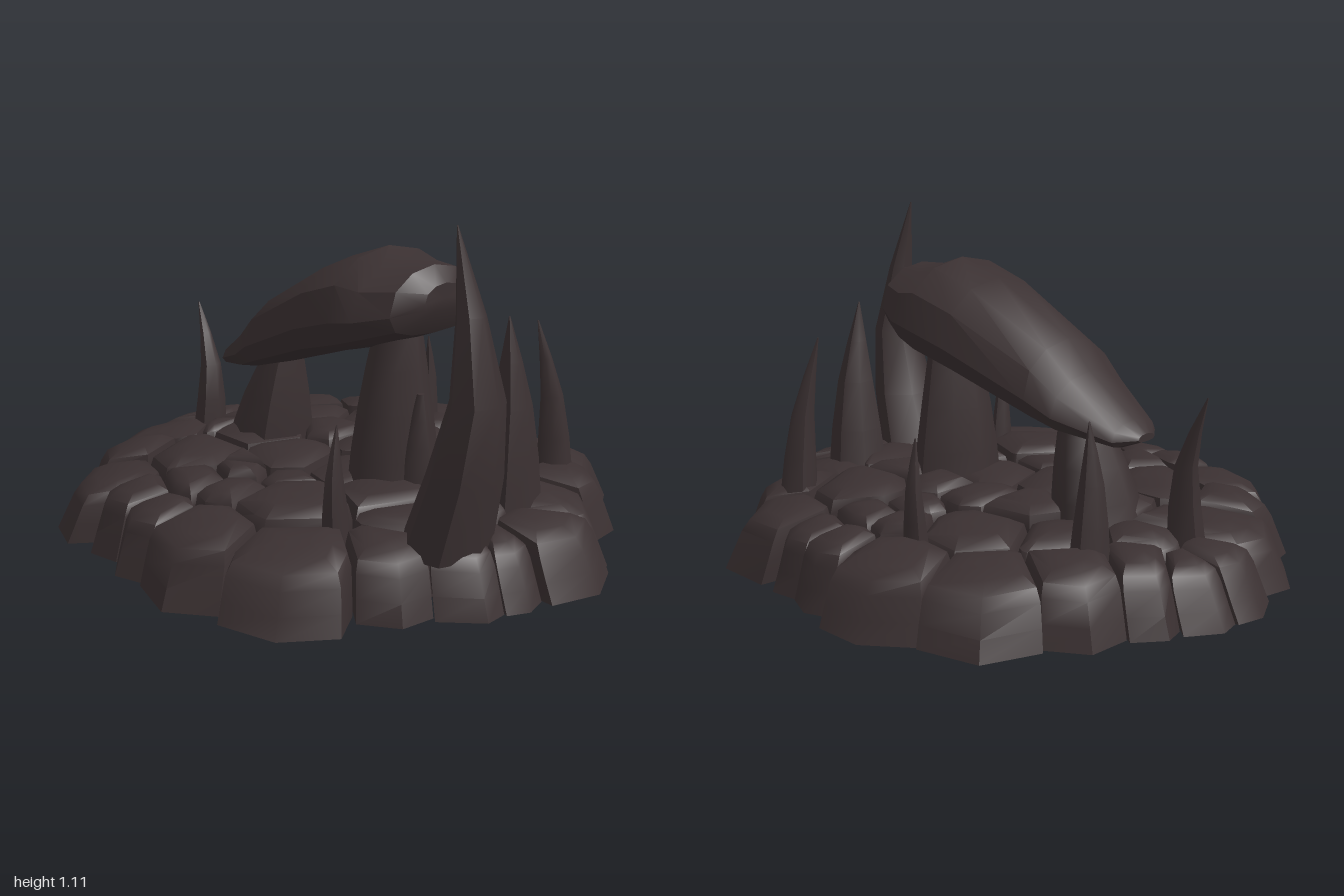
import * as THREE from 'three';
import { toCreasedNormals } from 'three/addons/utils/BufferGeometryUtils.js';

// seeded random numbers in 0..1
let seed = 7;
const rnd = () => (seed = (seed * 16807) % 2147483647) / 2147483647;

// skin a stack of equal-length rings of [x, y, z] points and close both ends
function loft(rings, crease) {
  const n = rings[0].length, pos = rings.flat(2), idx = [];
  for (let k = 0; k < rings.length - 1; k++) {
    for (let i = 0; i < n; i++) {
      const a = k * n + i, b = k * n + (i + 1) % n;
      idx.push(a, a + n, b, b, a + n, b + n);
    }
  }
  [0, rings.length - 1].forEach((k, end) => {
    const c = [0, 1, 2].map(j => rings[k].reduce((s, p) => s + p[j], 0) / n);
    const ci = pos.length / 3;
    pos.push(...c);
    for (let i = 0; i < n; i++) {
      const a = k * n + i, b = k * n + (i + 1) % n;
      if (end) idx.push(a, ci, b); else idx.push(b, ci, a);
    }
  });
  const g = new THREE.BufferGeometry();
  g.setAttribute('position', new THREE.Float32BufferAttribute(pos, 3));
  g.setIndex(idx);
  return toCreasedNormals(g, crease);
}

// cut a polygon in the ground plane, keeping the points with p . n <= d
function clip(poly, nx, nz, d) {
  const out = [];
  poly.forEach((p, i) => {
    const q = poly[(i + 1) % poly.length];
    const a = p[0] * nx + p[1] * nz - d, b = q[0] * nx + q[1] * nz - d;
    if (a <= 0) out.push(p);
    if (a * b < 0) {
      const t = a / (a - b);
      out.push([p[0] + (q[0] - p[0]) * t, p[1] + (q[1] - p[1]) * t]);
    }
  });
  return out;
}

// stone centres and sizes: x, z, radius
const rim = [
  [-.21, -.73, .19], [.02, -.745, .13], [.19, -.715, .13], [.41, -.68, .17], [.59, -.47, .17],
  [.70, -.25, .20], [.83, -.11, .17], [.82, .10, .12], [.77, .22, .14], [.63, .38, .16],
  [.47, .62, .20], [.18, .73, .18], [-.07, .74, .13], [-.24, .70, .14], [-.45, .65, .18],
  [-.63, .45, .17], [-.76, .23, .19], [-.87, .03, .13], [-.86, -.12, .12], [-.75, -.24, .15],
  [-.64, -.41, .18], [-.49, -.62, .19]];
const paving = [
  [-.25, -.41, .19], [-.47, -.28, .17], [-.05, -.53, .12], [.11, -.53, .12], [.06, -.39, .11],
  [.34, -.38, .19], [-.65, -.08, .14], [-.60, .06, .12], [-.38, .35, .19], [-.15, .51, .13],
  [.02, .48, .13], [-.10, .37, .11], [.24, .42, .19], [.55, .20, .18], [.57, -.06, .18]];
// two staggered rows beneath the capstone
for (let i = 0; i < 4; i++) {
  paving.push([-.38 + i * .25, .05 + (i % 2) * .08, .18], [-.22 + i * .19, -.16, .15]);
}
paving.push([-.16, .27, .12], [.06, .28, .12]);

function stoneGeometry(stone, stones) {
  const [x, z, r] = stone, sides = 6, out = Math.atan2(z, x);
  let poly = [];
  for (let i = 0; i < sides; i++) {
    const a = out + (i + (i ? (rnd() - .5) * .4 : 0)) / sides * Math.PI * 2;
    const reach = i ? r * 1.13 : r;
    poly.push([x + reach * Math.cos(a), z + reach * Math.sin(a)]);
  }
  // neighbours share straight joints
  for (const other of stones) {
    const dx = other[0] - x, dz = other[1] - z, d = Math.hypot(dx, dz);
    if (other === stone || d > (r + other[2]) * 1.13) continue;
    const nx = dx / d, nz = dz / d;
    poly = clip(poly, nx, nz, x * nx + z * nz + (d * d + r * r - other[2] ** 2) / (2 * d) - .0015);
  }
  const cx = poly.reduce((s, p) => s + p[0], 0) / poly.length;
  const cz = poly.reduce((s, p) => s + p[1], 0) / poly.length;
  const h = .23 + rnd() * .025;
  const layers = [[.94, 0], [1, .35], [.99, .7], [.92, .88], [.65, .97], [.3, 1]];
  return loft(layers.map(([s, v]) => poly.map(([px, pz]) => {
    // the outer rim leans inwards and drops away
    const full = Math.hypot(px, pz), lean = Math.max(0, full - .6) * .22 * v;
    const k = 1 - lean / full, foot = full > .75 && v === 0 ? 1 / .94 : 1;
    const qx = (cx + (px - cx) * s * foot) * k, qz = (cz + (pz - cz) * s * foot) * k;
    const drop = THREE.MathUtils.clamp((Math.hypot(qx, qz) - .55) / .4, 0, 1);
    return [qx, h * v * (1 - .3 * drop), qz];
  })), .8);
}

// upright rock tapering from r0 to r1 along a curve through three points
function rockGeometry(points, r0, r1, sides = 7) {
  const curve = new THREE.CatmullRomCurve3(points.map(p => new THREE.Vector3(...p)));
  const wobble = Array.from({ length: sides }, () => .92 + rnd() * .16);
  return loft([0, .25, .5, .75, 1].map(t => {
    const c = curve.getPoint(t), r = THREE.MathUtils.lerp(r0, r1, t ** 1.25);
    return wobble.map((w, i) => {
      const a = i / sides * Math.PI * 2;
      return [c.x + Math.cos(a) * r * w, c.y, c.z + Math.sin(a) * r * w * 1.12];
    });
  }), .9);
}

// spikes: foot x, z; middle x, y, z; tip x, y, z; foot radius
const spikes = [
  [.69, .21, .80, .62, .21, .72, 1.11, .225, .135],
  [.615, -.15, .625, .5, -.145, .615, .785, -.13, .1],
  [.52, -.5, .52, .45, -.47, .495, .71, -.415, .06],
  [-.6, -.29, -.595, .4, -.28, -.59, .59, -.29, .06],
  [.43, .41, .43, .35, .42, .43, .51, .41, .045],
  [-.16, -.58, -.16, .36, -.59, -.155, .515, -.575, .04],
  [-.71, .05, -.705, .41, .04, -.78, .635, .03, .06]];

// capstone stations: x, underside, top, half width
const slabStations = [
  [-.58, .47, .495, .04], [-.53, .45, .53, .11], [-.35, .475, .655, .19],
  [-.26, .50, .75, .215], [.05, .60, .915, .258], [.22, .645, .97, .268],
  [.31, .68, .94, .25], [.42, .72, .935, .19], [.47, .80, .885, .09]];

// domed above, nearly flat below
function slabRing([x, low, high, width]) {
  return Array.from({ length: 12 }, (_, i) => {
    const a = i / 12 * Math.PI * 2, c = Math.cos(a);
    const v = c > 0 ? .34 + .66 * c ** .9 : .34 * (1 - (-c) ** .6);
    return [x, low + (high - low) * v, -Math.sin(a) * width];
  });
}

export function createModel() {
  seed = 7;
  const rock = new THREE.MeshStandardMaterial({ color: 0x3a3031 });
  rock.name = 'darkRock';
  const model = new THREE.Group();
  model.name = 'stoneShrine';
  const group = name => {
    const g = new THREE.Group();
    g.name = name;
    model.add(g);
    return g;
  };
  const add = (parent, name, geometry) => {
    const m = new THREE.Mesh(geometry, rock);
    m.name = name;
    parent.add(m);
  };

  // round base of fitted stones
  const base = group('base'), stones = rim.concat(paving);
  rim.forEach(s => add(base, 'rimStone', stoneGeometry(s, stones)));
  paving.forEach(s => add(base, 'pavingStone', stoneGeometry(s, stones)));

  // curved spikes
  const ring = group('spikes');
  spikes.forEach(([fx, fz, mx, my, mz, tx, ty, tz, r]) =>
    add(ring, 'spike', rockGeometry([[fx, .15, fz], [mx, my, mz], [tx, ty, tz]], r, .002)));

  // supports and capstone
  const table = group('stoneTable');
  add(table, 'lowSupport', rockGeometry([[-.405, .15, 0], [-.36, .36, 0], [-.315, .53, 0]], .15, .06, 8));
  add(table, 'tallSupport', rockGeometry([[.26, .15, 0], [.26, .45, 0], [.27, .73, 0]], .15, .07, 8));
  add(table, 'supportStump', rockGeometry([[.38, .15, .02], [.385, .35, .02], [.39, .52, .02]], .065, .012));
  add(table, 'capstone', loft(slabStations.map(slabRing), .6));
  return model;
}
